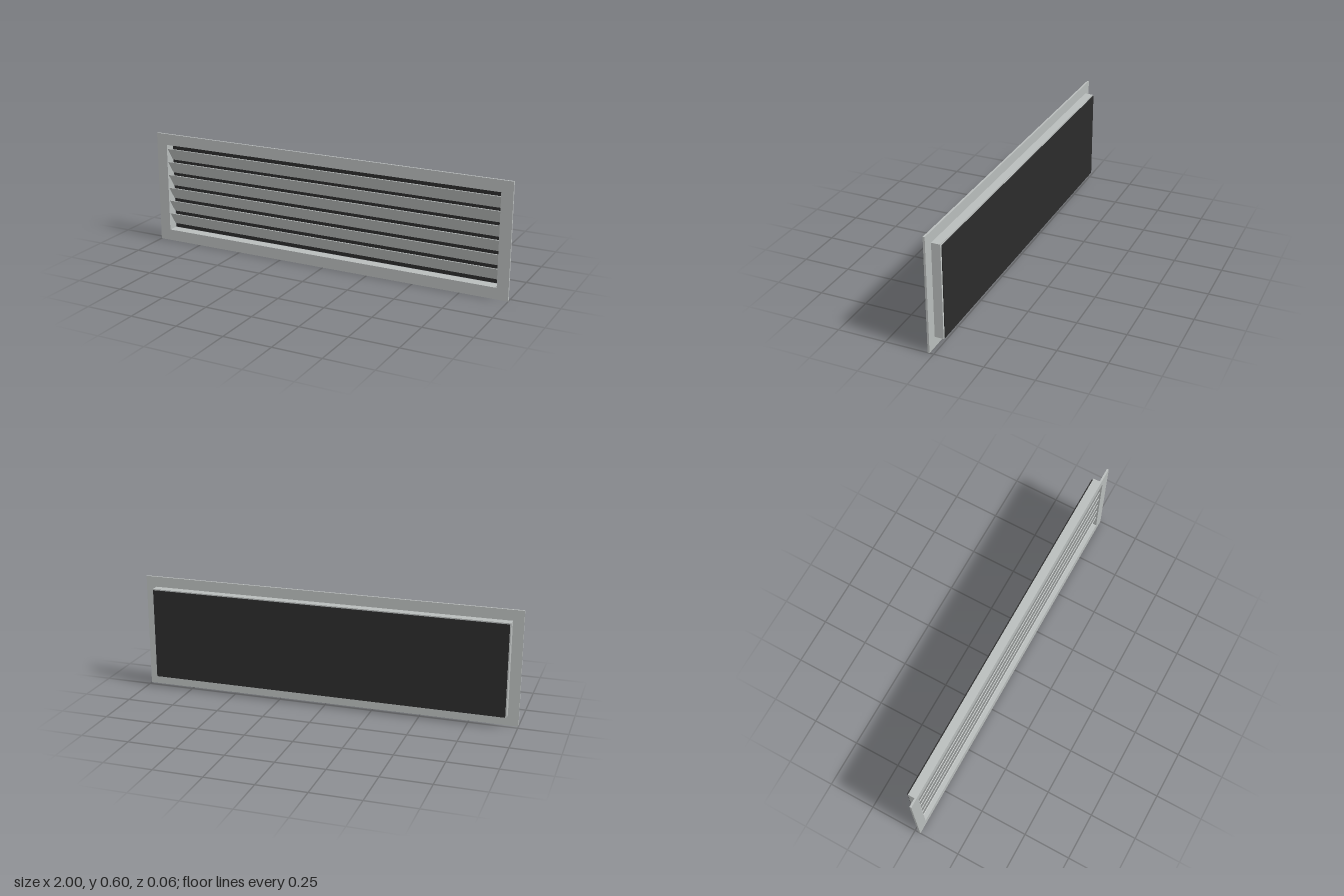
import * as THREE from 'three';

// Rectangular ring extruded from z0 to z1, centred on the grille
function ring(outerW, outerH, innerW, innerH, z0, z1) {
  const rect = (Type, w, h) => new Type([
    new THREE.Vector2(-w / 2, -h / 2), new THREE.Vector2(w / 2, -h / 2),
    new THREE.Vector2(w / 2, h / 2), new THREE.Vector2(-w / 2, h / 2),
  ]);
  const shape = rect(THREE.Shape, outerW, outerH);
  shape.holes.push(rect(THREE.Path, innerW, innerH));
  const geo = new THREE.ExtrudeGeometry(shape, { depth: z1 - z0, bevelEnabled: false });
  return geo.translate(0, 0.3, z0);
}

export function createModel() {
  const group = new THREE.Group();
  group.name = 'ventGrille';

  const metal = new THREE.MeshStandardMaterial({ color: 0xb8bcbb });
  metal.name = 'lightGreyMetal';
  const dark = new THREE.MeshStandardMaterial({ color: 0x2b2b2b });
  dark.name = 'darkScreen';

  const add = (name, geo, mat, parent = group) => {
    const mesh = new THREE.Mesh(geo, mat);
    mesh.name = name;
    parent.add(mesh);
    return mesh;
  };

  // Face flange and the collar behind it
  add('faceFrame', ring(2, 0.6, 1.88, 0.48, 0.021, 0.031), metal);
  add('collar', ring(1.89, 0.49, 1.88, 0.48, -0.024, 0.021), metal);

  // Six tilted blades, upper edge forward
  const blades = new THREE.Group();
  blades.name = 'louvreBlades';
  group.add(blades);
  const bladeGeo = new THREE.BoxGeometry(1.88, 0.083, 0.004);
  for (let i = 0; i < 6; i++) {
    const blade = add('blade' + (i + 1), bladeGeo, metal, blades);
    blade.position.set(0, 0.3 + (i - 2.5) * 0.0727, 0);
    blade.rotation.x = 0.58;
  }

  // Thin screen set just behind the collar
  add('backScreen', new THREE.BoxGeometry(1.88, 0.48, 0.004).translate(0, 0.3, -0.029), dark);

  return group;
}
